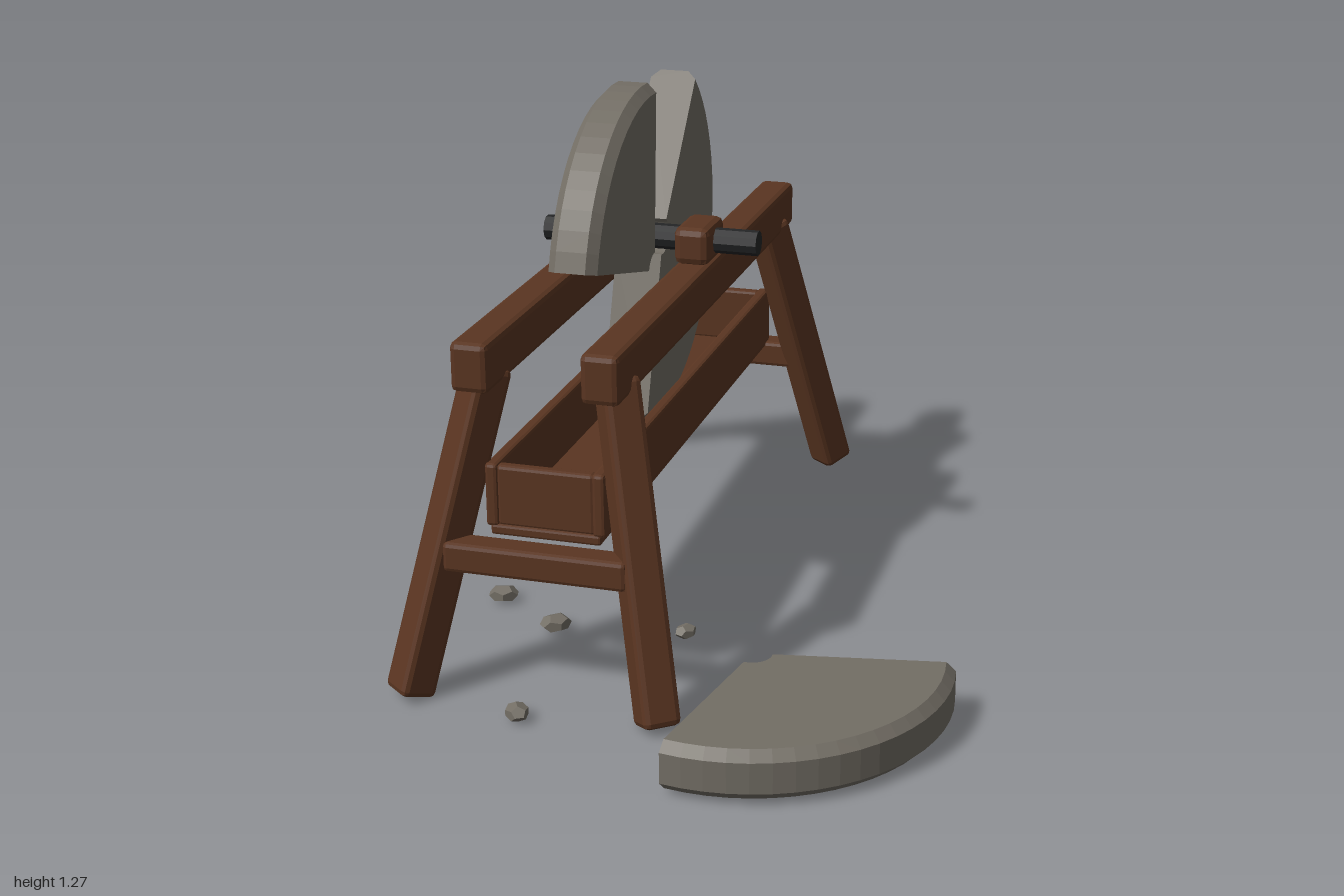
import * as THREE from 'three';
import { RoundedBoxGeometry } from 'three/addons/geometries/RoundedBoxGeometry.js';
import { mergeGeometries } from 'three/addons/utils/BufferGeometryUtils.js';

const CX = -0.28;      // centre line of the stand
const AXLE_Z = -0.112; // middle of the stand along its length
const AXLE_Y = 0.893;

export function createModel() {
  const group = new THREE.Group();
  const mat = (name, color) => {
    const m = new THREE.MeshStandardMaterial({ color, flatShading: true });
    m.name = name;
    return m;
  };
  const wood = mat('brown wood', 0x5a3521);
  const stone = mat('grey stone', 0x736e65);
  const iron = mat('dark iron', 0x242526);

  const add = (name, geometry, material, x = 0, y = 0, z = 0) => {
    const mesh = new THREE.Mesh(geometry, material);
    mesh.name = name;
    mesh.position.set(x, y, z);
    group.add(mesh);
    return mesh;
  };
  // Timber with chamfered edges
  const beam = (name, w, h, d, x, y, z, bevel = 0.014) =>
    add(name, new RoundedBoxGeometry(w, h, d, 1, bevel), wood, x, y, z);

  // Splayed leg, turned so that one face looks along its lean
  const leg = (name, foot, top) => {
    const dir = top.clone().sub(foot);
    const mid = top.clone().add(foot).multiplyScalar(0.5);
    const m = beam(name, 0.088, dir.length(), 0.088, mid.x, mid.y, mid.z);
    const up = dir.normalize();
    const side = new THREE.Vector3(0, 1, 0).cross(up).normalize();
    m.quaternion.setFromRotationMatrix(
      new THREE.Matrix4().makeBasis(side, up, side.clone().cross(up)));
  };

  // Rails, bearings, trough sides and legs, mirrored about the centre line
  for (const s of [-1, 1]) {
    const x = CX + s * 0.15;
    beam('rail', 0.088, 0.115, 1.515, x, 0.788, AXLE_Z);
    beam('bearingBlock', 0.088, 0.092, 0.15, x, 0.891, AXLE_Z, 0.018);
    beam('troughSide', 0.03, 0.15, 1.42, CX + s * 0.126, 0.475, AXLE_Z, 0.008);
    for (const e of [-1, 1]) {
      leg(e > 0 ? 'frontLeg' : 'backLeg',
        new THREE.Vector3(CX + s * 0.295, 0.02, AXLE_Z + e * 0.825),
        new THREE.Vector3(CX + s * 0.15, 0.76, AXLE_Z + e * 0.64));
    }
  }
  // Trough floor, end boards and leg braces
  beam('troughFloor', 0.26, 0.025, 1.42, CX, 0.393, AXLE_Z, 0.006);
  for (const e of [-1, 1]) {
    beam('troughEnd', 0.23, 0.145, 0.03, CX, 0.474, AXLE_Z + e * 0.69, 0.008);
    beam('legBrace', 0.43, 0.07, 0.07, CX, 0.35, AXLE_Z + e * 0.76, 0.01);
  }

  // Axle
  add('axle', new THREE.CylinderGeometry(0.031, 0.031, 0.54, 10).rotateZ(Math.PI / 2),
    iron, -0.25, AXLE_Y, AXLE_Z);

  // Sector of the broken wheel: chamfered rim, axle notch, closed broken faces
  const wheelPiece = (fromDeg, toDeg) => {
    const R = 0.455, r = 0.045, h = 0.058, c = 0.022;
    const profile = [[r, -h], [R - c, -h], [R, -h + c], [R, h - c], [R - c, h], [r, h]]
      .map(([x, y]) => new THREE.Vector2(x, y));
    const a = THREE.MathUtils.degToRad(fromDeg), b = THREE.MathUtils.degToRad(toDeg);
    const steps = Math.round((toDeg - fromDeg) / 6);
    const body = new THREE.LatheGeometry([...profile, profile[0]], steps, a, b - a);
    const startCap = new THREE.ShapeGeometry(new THREE.Shape(profile)).rotateY(a - Math.PI / 2);
    const mirrored = profile.map(p => new THREE.Vector2(-p.x, p.y));
    const endCap = new THREE.ShapeGeometry(new THREE.Shape(mirrored)).rotateY(b + Math.PI / 2);
    return mergeGeometries([body, startCap, endCap]);
  };
  add('mountedWheelPiece', wheelPiece(71.3, 229.3).rotateZ(-Math.PI / 2), stone, CX, AXLE_Y, AXLE_Z);
  add('slippedWheelPiece', wheelPiece(-94, -15).rotateZ(-Math.PI / 2), stone, CX, 0.825, -0.043);
  add('fallenWheelPiece', wheelPiece(-10, 100), stone, 0.183, 0.076, 0.537);

  // Chips of stone on the ground: x, z, size, turn
  const chips = [
    [-0.55, 0.19, 0.036, 0.3], [-0.055, 0.27, 0.029, 1.2], [-0.30, 0.755, 0.033, 2.1],
    [-0.37, 0.31, 0.038, 0.8], [0.597, 0.46, 0.03, 2.7],
  ];
  for (const [x, z, size, turn] of chips) {
    const chip = add('stoneChip', new THREE.DodecahedronGeometry(size), stone, x, 0.031, z);
    chip.scale.set(1.05, 0.6, 0.85);
    chip.rotation.y = turn;
  }
  return group;
}
